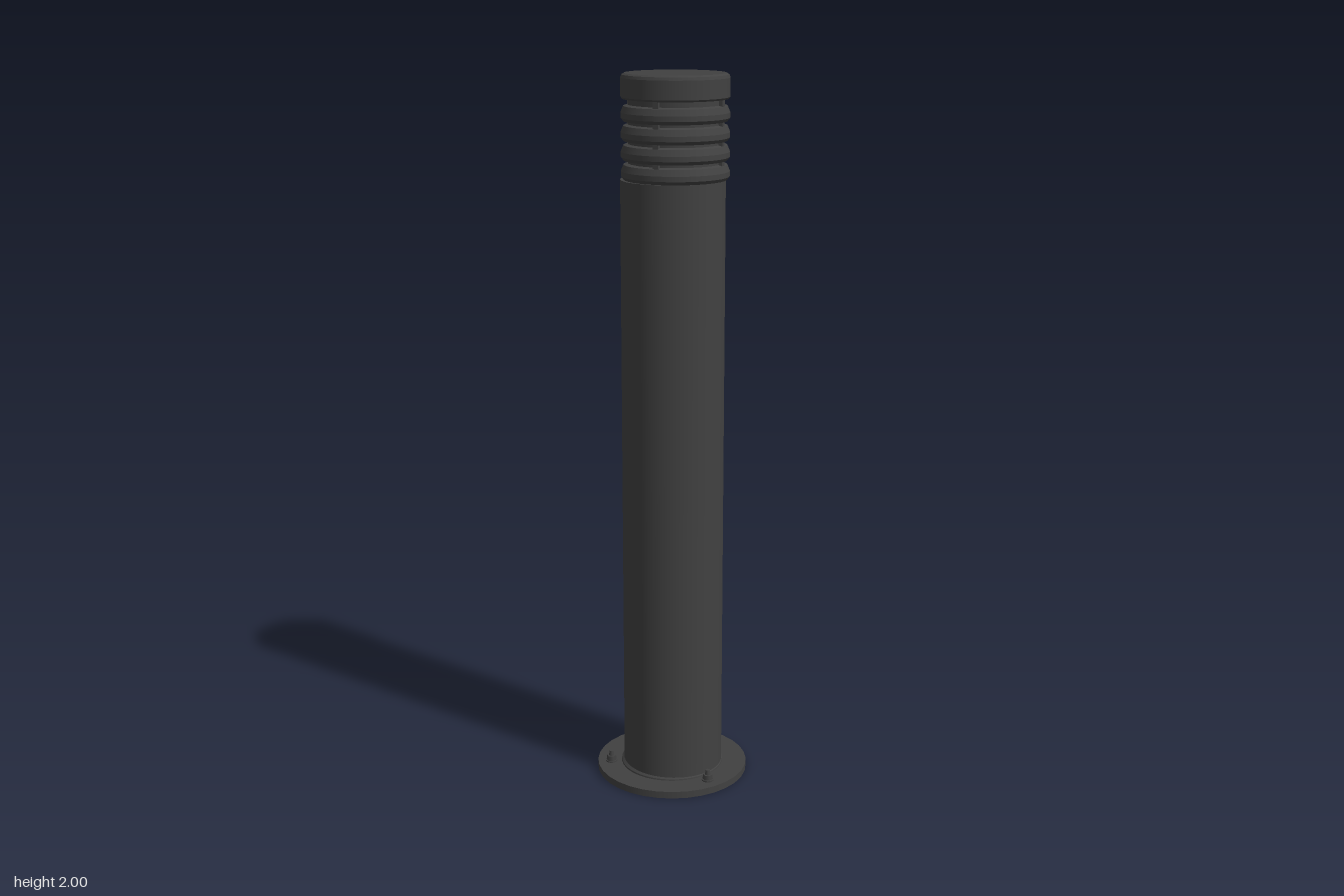
import * as THREE from 'three';

export function createModel() {
  const model = new THREE.Group();
  const metal = new THREE.MeshStandardMaterial({ color: 0x414141 });
  metal.name = 'dark grey metal';

  const add = (name, geometry, x, y, z, parent = model) => {
    const mesh = new THREE.Mesh(geometry, metal);
    mesh.name = name;
    mesh.position.set(x, y, z);
    parent.add(mesh);
    return mesh;
  };
  // Lathe with crisp edges: each profile segment becomes its own smooth band
  const turned = (name, profile, parent, y = 0) => {
    const group = new THREE.Group();
    group.name = name;
    group.position.y = y;
    for (let i = 0; i < profile.length - 1; i++) {
      const pts = [profile[i], profile[i + 1]].map(([r, h]) => new THREE.Vector2(r, h));
      add(name + 'Band', new THREE.LatheGeometry(pts, 48), 0, 0, 0, group);
    }
    parent.add(group);
  };

  // Round mounting plate and the tall post
  add('basePlate', new THREE.CylinderGeometry(0.217, 0.217, 0.02, 32), 0, 0.01, 0);
  add('post', new THREE.CylinderGeometry(0.142, 0.142, 1.705, 48), 0.002, 0.8675, 0.002);
  turned('weldSeam', [[0.148, 0.018], [0.147, 0.024], [0.14, 0.03]], model);

  // Three anchor bolts: washer, hexagonal nut and stud
  [[0.128, -0.125], [-0.17, -0.053], [0.04, 0.17]].forEach(([x, z]) => {
    const bolt = new THREE.Group();
    bolt.name = 'anchorBolt';
    bolt.position.set(x, 0.02, z);
    add('washer', new THREE.CylinderGeometry(0.017, 0.017, 0.004, 16), 0, 0.002, 0, bolt);
    add('nut', new THREE.CylinderGeometry(0.0135, 0.015, 0.016, 6), 0, 0.01, 0, bolt);
    add('stud', new THREE.CylinderGeometry(0.006, 0.008, 0.016, 12), 0, 0.024, 0, bolt);
    model.add(bolt);
  });

  // Lamp head, sitting slightly off the post axis
  const head = new THREE.Group();
  head.name = 'lampHead';
  head.position.set(0.008, 0, 0.004);
  model.add(head);
  add('lampCore', new THREE.CylinderGeometry(0.127, 0.127, 0.24, 40), 0, 1.825, 0, head);

  // Louvre rings with sloping tops
  for (let i = 0; i < 4; i++) {
    turned('louvre', [[0.122, -0.006], [0.139, -0.006], [0.146, 0.003], [0.146, 0.017],
      [0.139, 0.034], [0.122, 0.039]], head, 1.726 + i * 0.0515);
  }

  // Upright ribs that carry the cap
  for (let i = 0; i < 4; i++) {
    const a = Math.PI / 4 + i * Math.PI / 2;
    const rib = add('rib', new THREE.BoxGeometry(0.016, 0.215, 0.02),
      Math.sin(a) * 0.127, 1.8275, Math.cos(a) * 0.127, head);
    rib.rotation.y = a;
  }

  // Flat cap with a softened rim
  turned('cap', [[0, 1.933], [0.142, 1.933], [0.146, 1.938], [0.146, 1.988],
    [0.143, 1.996], [0.136, 2.0], [0, 2.0]], head);

  return model;
}
